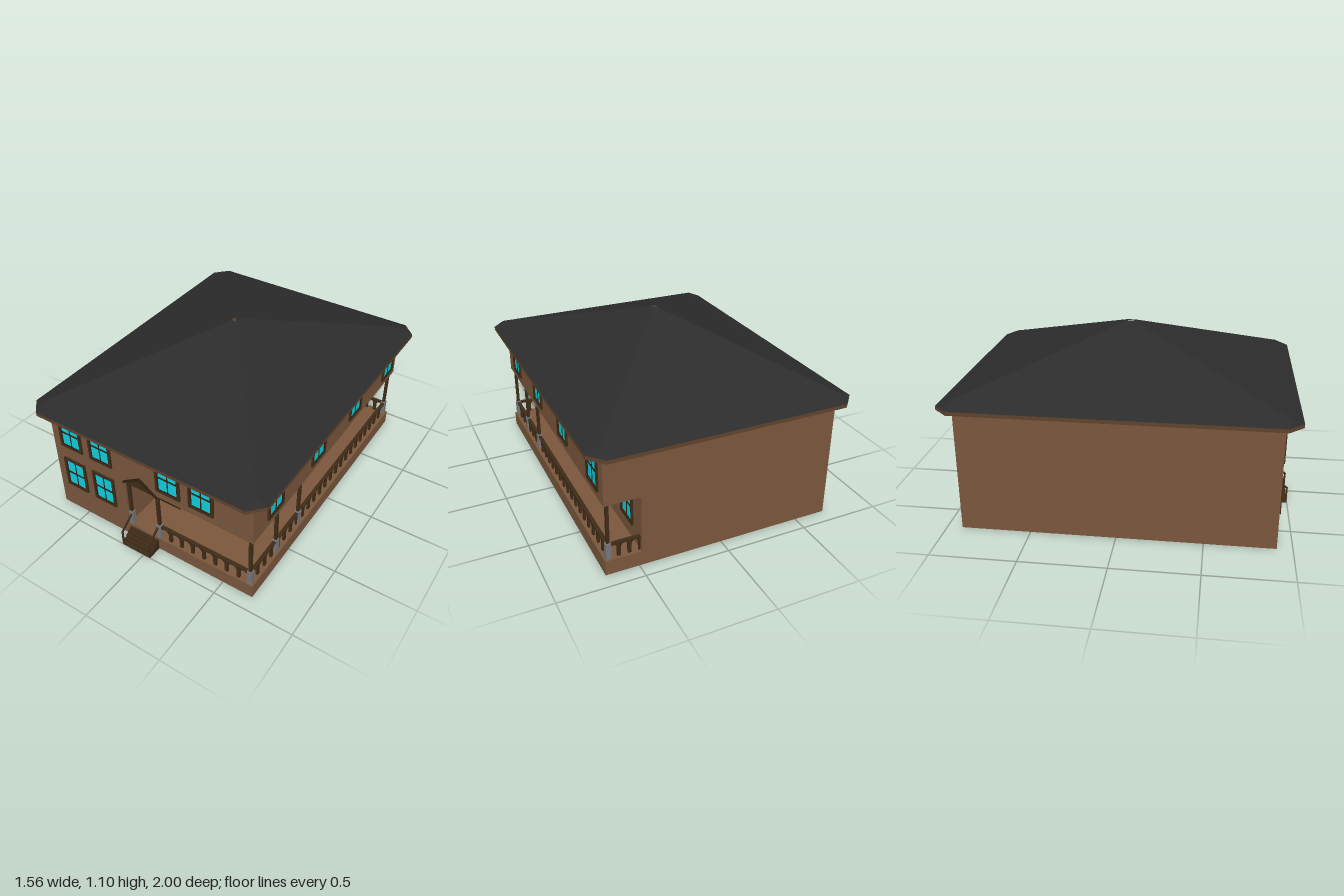
import * as THREE from 'three';

const mat = (color, side = THREE.FrontSide) =>
  new THREE.MeshStandardMaterial({ color, flatShading: true, side });
const BRICK = mat(0x7a573d), WOOD = mat(0x3f2c17), DARK = mat(0x2e2011), FASCIA = mat(0x60432d);
const GLASS = mat(0x10d0e0), ROOF = mat(0x2c2c2d), STONE = mat(0x777777);

const FLOOR = 0.09, CEILING = 0.44, EAVE = 0.745;
const W = 0.695, D = 0.91;             // half width and half depth of the house
const WALL_X = 0.485, WALL_Z = 0.645;  // porch walls
const POST_X = 0.67, POST_Z = 0.89;

function add(parent, name, geometry, material, x = 0, y = 0, z = 0) {
  const mesh = new THREE.Mesh(geometry, material);
  mesh.name = name;
  mesh.position.set(x, y, z);
  parent.add(mesh);
  return mesh;
}
const box = (parent, name, material, w, h, d, x, y, z) =>
  add(parent, name, new THREE.BoxGeometry(w, h, d), material, x, y, z);
const polygon = (pts) => new THREE.Shape(pts.map(([x, y]) => new THREE.Vector2(x, y)));
const extrude = (shape, depth) =>
  new THREE.ExtrudeGeometry(shape, { depth, bevelEnabled: false, curveSegments: 6 });

// Flat rectangular frame facing +z
function frameGeometry(w, h, t, depth) {
  const rect = (a, b) => [[-a, -b], [a, -b], [a, b], [-a, b]];
  const shape = polygon(rect(w / 2, h / 2));
  shape.holes.push(polygon(rect(w / 2 - t, h / 2 - t)));
  return extrude(shape, depth);
}

// Framed window with four panes
function makeWindow(parent, x, y, z, turn = 0) {
  const g = new THREE.Group();
  g.name = 'window';
  add(g, 'windowFrame', frameGeometry(0.162, 0.218, 0.013, 0.012), WOOD);
  add(g, 'windowSash', frameGeometry(0.138, 0.194, 0.007, 0.009), DARK);
  box(g, 'windowGlass', GLASS, 0.13, 0.19, 0.004, 0, 0, 0.002);
  box(g, 'windowMullion', DARK, 0.006, 0.19, 0.007, 0, 0, 0.0035);
  box(g, 'windowCrossbar', DARK, 0.13, 0.009, 0.008, 0, 0, 0.004);
  g.position.set(x, y, z);
  g.rotation.y = turn;
  parent.add(g);
}

// Railing with arched openings between two floor points
function makeRailing(parent, x0, z0, x1, z1) {
  const length = Math.hypot(x1 - x0, z1 - z0);
  const bays = Math.max(1, Math.round(length / 0.073)), pitch = length / bays;
  const half = 0.01, r = pitch / 2 - half, spring = 0.052;
  const shape = new THREE.Shape();
  shape.moveTo(0, 0);
  for (let i = 0; i < bays; i++) {
    const mid = (i + 0.5) * pitch;
    shape.lineTo(mid - r, 0);
    shape.lineTo(mid - r, spring);
    shape.absellipse(mid, spring, r, 0.026, Math.PI, 0, true);
    shape.lineTo(mid + r, 0);
  }
  shape.lineTo(length, 0);
  shape.lineTo(length, 0.088);
  shape.lineTo(0, 0.088);
  const g = new THREE.Group();
  g.name = 'railing';
  add(g, 'balusters', extrude(shape, 0.014), WOOD, 0, 0, -0.007);
  box(g, 'handrail', WOOD, length, 0.008, 0.022, length / 2, 0.088, 0);
  g.position.set(x0, FLOOR, z0);
  g.rotation.y = Math.atan2(-(z1 - z0), x1 - x0);
  parent.add(g);
}

function makePost(parent, x, z) {
  const h = CEILING - FLOOR;
  box(parent, 'porchPost', WOOD, 0.018, h, 0.018, x, FLOOR + h / 2, z);
  box(parent, 'postBase', STONE, 0.03, 0.1, 0.03, x, FLOOR + 0.05, z);
}

// Hipped roof from three cross-sections with clipped eave corners
function roofGeometry() {
  const ring = (y, x, z, ex, ez) => [
    [x, z + ez], [x + ex, z], [x + ex, -z], [x, -z - ez],
    [-x, -z - ez], [-x - ex, -z], [-x - ex, z], [-x, z + ez],
  ].map(([px, pz]) => [px, y, pz]);
  const rings = [
    ring(EAVE + 0.022, 0.7, 0.915, 0.08, 0.085),
    ring(0.8, 0.7, 0.915, 0, 0),
    ring(1.1, 0.015, 0.02, 0, 0),
  ];
  const pos = [];
  for (let k = 0; k < 2; k++) {
    for (let i = 0; i < 8; i++) {
      const j = (i + 1) % 8;
      const [a, b, c, d] = [rings[k][i], rings[k][j], rings[k + 1][j], rings[k + 1][i]];
      pos.push(...a, ...b, ...c, ...a, ...c, ...d);
    }
  }
  const t = rings[2];
  pos.push(...t[0], ...t[1], ...t[3], ...t[0], ...t[3], ...t[5]);
  const geo = new THREE.BufferGeometry();
  geo.setAttribute('position', new THREE.Float32BufferAttribute(pos, 3));
  geo.computeVertexNormals();
  return geo;
}

export function createModel() {
  const house = new THREE.Group();
  house.name = 'house';

  // Walls: base slab, lower storey cut back for the porch, upper storey
  box(house, 'base', BRICK, 2 * W, FLOOR, 2 * D, 0, FLOOR / 2, 0);
  const plan = polygon([[-W, -D], [-0.17, -D], [-0.17, -WALL_Z], [WALL_X, -WALL_Z], [WALL_X, D], [-W, D]]);
  const lower = add(house, 'lowerStorey', extrude(plan, CEILING - FLOOR), BRICK, 0, FLOOR, 0);
  lower.rotation.x = -Math.PI / 2;
  box(house, 'upperStorey', BRICK, 2 * W, EAVE - CEILING, 2 * D, 0, (EAVE + CEILING) / 2, 0);

  // Roof and its eave board
  const eave = polygon([[0.7, -1], [0.78, -0.915], [0.78, 0.915], [0.7, 1],
    [-0.7, 1], [-0.78, 0.915], [-0.78, -0.915], [-0.7, -1]]);
  add(house, 'eaves', extrude(eave, 0.022), FASCIA, 0, EAVE, 0).rotation.x = -Math.PI / 2;
  add(house, 'roof', roofGeometry(), ROOF);

  // Windows
  for (const x of [-0.55, -0.33, 0.15, 0.37]) {
    makeWindow(house, x, 0.608, D);
    makeWindow(house, x, 0.295, x < 0 ? D : WALL_Z);
  }
  for (const z of [0.69, 0.205, -0.28, -0.77]) makeWindow(house, W, 0.603, z, Math.PI / 2);
  for (const z of [0.515, 0.027, -0.455, -0.715]) makeWindow(house, WALL_X, 0.295, z, Math.PI / 2);

  // Panelled front door
  const door = new THREE.Group();
  door.name = 'frontDoor';
  add(door, 'doorFrame', frameGeometry(0.16, 0.32, 0.014, 0.014), DARK);
  box(door, 'doorLeaf', WOOD, 0.132, 0.3, 0.006, 0, -0.006, 0.003);
  for (const [h, y] of [[0.15, 0.058], [0.08, -0.08]]) {
    add(door, 'panelMoulding', frameGeometry(0.09, h, 0.006, 0.01), DARK, 0, y, 0);
    box(door, 'doorPanel', WOOD, 0.06, h - 0.03, 0.009, 0, y, 0.0045);
  }
  add(door, 'doorKnob', new THREE.SphereGeometry(0.006, 8, 6), DARK, 0.055, -0.02, 0.01);
  door.position.set(-0.056, FLOOR + 0.16, WALL_Z);
  house.add(door);

  // Porch posts and railings
  for (const x of [-0.157, 0.05, POST_X]) makePost(house, x, POST_Z);
  for (const z of [0.62, 0.36, -0.885]) makePost(house, POST_X, z);
  makeRailing(house, 0.05, POST_Z, POST_X, POST_Z);
  makeRailing(house, POST_X, POST_Z, POST_X, -0.885);
  makeRailing(house, WALL_X, -0.885, POST_X, -0.885);

  // Shallow gable over the entrance
  const gx = -0.054;
  add(house, 'gable', extrude(polygon([[-0.112, 0], [0.112, 0], [0, 0.072]]), 0.008), WOOD, gx, CEILING, D);
  for (const s of [-1, 1]) {
    const trim = polygon([[0, 0.08], [0, 0.066], [s * 0.118, -0.008], [s * 0.118, 0.004]]);
    add(house, 'gableTrim', extrude(trim, 0.013), DARK, gx, CEILING, D);
  }

  // Front steps with sloping handrails
  const steps = 5, run = 0.09 / steps;
  for (let i = 0; i < steps; i++) {
    const h = 0.074 - i * 0.0148, depth = run * (i + 1);
    box(house, 'step', WOOD, 0.205, h, depth, gx, h / 2, D + depth / 2);
  }
  for (const x of [-0.152, 0.044]) {
    box(house, 'newel', WOOD, 0.01, 0.105, 0.008, x, 0.0525, 0.995);
    const rail = box(house, 'stairRail', WOOD, 0.01, 0.01, 0.125, x, 0.136, 0.948);
    rail.rotation.x = Math.atan2(0.07, 0.095);
  }
  return house;
}
